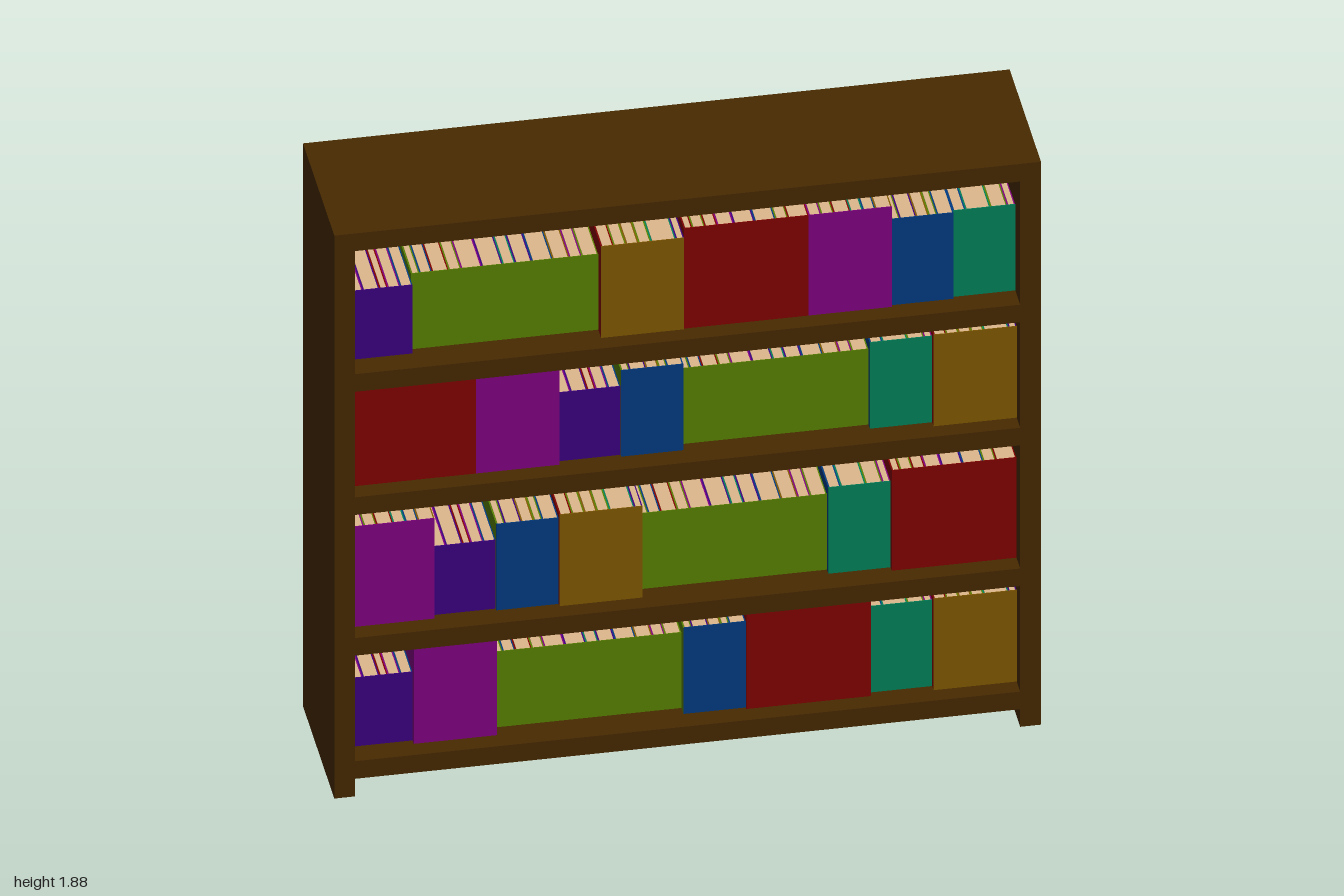
import * as THREE from 'three';
import { mergeGeometries } from 'three/addons/utils/BufferGeometryUtils.js';

const U = 1 / 85; // one construction unit

const COLORS = {
  wood: 0x482a00, cream: 0xe0b98e, gold: 0xc08600, red: 0x840000, purple: 0x840084,
  indigo: 0x3c0084, blue: 0x003c84, teal: 0x00845c, olive: 0x5a8400, brown: 0x845a00,
};
const LETTER = { R: 'red', P: 'purple', I: 'indigo', B: 'blue', T: 'teal', G: 'olive', N: 'brown' };

// Seven sets of books: height, front face z, and spines (letter + width) from -x to +x
const SETS = {
  indigo: { h: 19.5, z: 13.8, books: 'P3 I4 R2 P3 B3' },
  olive: { h: 21.5, z: 12, books: 'G2 B3 R4 G3 P5 I5 T3 I4 B5 N4 P3 G4' },
  brown: { h: 26, z: 15.6, books: 'R3 G3 N3 G3 T6 I2' },
  red: { h: 28.5, z: 15.3, books: 'R2 G3 R3 P4 I5 B5 G3 R5' },
  purple: { h: 28.5, z: 15.3, books: 'P3 G3 R4 T3 B3 N4' },
  blue: { h: 24.5, z: 14.6, books: 'G2 I4 N3 G2 B4' },
  teal: { h: 24.5, z: 13.8, books: 'B3 T6 G4 P2' },
};

// Shelf top height and the order of the sets on it, from -x to +x
const ROWS = [
  [10, 'indigo purple olive blue red teal brown'],
  [45, 'purple indigo blue brown olive teal red'],
  [85, 'red purple indigo blue olive teal brown'],
  [120, 'indigo olive brown red purple blue teal'],
];

const BACK = -15; // z of the spines

// Box from corner to corner, in construction units
function box(x0, x1, y0, y1, z0, z1) {
  const g = new THREE.BoxGeometry((x1 - x0) * U, (y1 - y0) * U, (z1 - z0) * U);
  return g.translate((x0 + x1) / 2 * U, (y0 + y1) / 2 * U, (z0 + z1) / 2 * U);
}

// Gilding on a spine: ladders, zigzags or a pair of bands
function gilding(color, x, w, h) {
  const list = [];
  const plate = (a, b, y, t) => list.push(box(x + a, x + b, y, y + t, BACK - 0.2, BACK));
  if (color === 'teal' && w > 3) {
    for (let y = 3, i = 0; y < h - 4; y += 3, i++) {
      plate(1, w - 1, y, 1);
      const a = i % 2 ? 1 : w - 2;
      plate(a, a + 1, y + 1, 2);
    }
  } else if ((color === 'red' || color === 'purple') && w > 4) {
    for (let y = 3, i = 0; y < h - 3; y += 2, i++) {
      const a = [0.5, 1.5, 2.5, 1.5][i % 4];
      plate(a, a + 1.5, y, 2);
    }
  } else if (w > 3) {
    for (const f of [0.18, 0.78]) plate(0, w, Math.round(f * h), 1);
  }
  return list;
}

// Geometry of one set, merged by colour
function buildSet(name) {
  const { h, z, books } = SETS[name];
  const parts = {};
  const add = (color, ...geos) => (parts[color] ??= []).push(...geos);
  let x = 0;
  for (const book of books.split(' ')) {
    const color = LETTER[book[0]];
    const w = Number(book.slice(1));
    add(color, box(x, x + w, 0, h - 0.2, BACK, z - 0.2));                       // cover
    add('cream', box(x + 0.35, x + w - 0.35, h - 0.2, h, BACK + 0.7, z - 0.2)); // page tops
    const gold = gilding(color, x, w, h);
    if (gold.length) add('gold', ...gold);
    x += w;
  }
  add(name, box(0, x, 0, h, z - 0.2, z)); // plain front face
  const merged = Object.entries(parts).map(([c, list]) => [c, mergeGeometries(list)]);
  return { width: x, merged };
}

export function createModel() {
  const model = new THREE.Group();
  model.name = 'bookcase';
  const mats = {};
  for (const [name, color] of Object.entries(COLORS)) {
    mats[name] = new THREE.MeshStandardMaterial({ color });
    mats[name].name = name;
  }

  const addWood = (name, ...dims) => {
    const mesh = new THREE.Mesh(box(...dims), mats.wood);
    mesh.name = name;
    model.add(mesh);
  };

  // Case, open at front and back
  addWood('rightSide', -85, -80, 0, 155, -20, 20);
  addWood('leftSide', 80, 85, 0, 155, -20, 20);
  addWood('topBoard', -85, 85, 155, 160, -20, 20);
  ROWS.forEach(([y], i) => addWood(`shelf${i + 1}`, -80, 80, y - 5, y, -20, 20));

  // Books: the same sets in a new order on each shelf
  const sets = {};
  for (const name of Object.keys(SETS)) sets[name] = buildSet(name);
  ROWS.forEach(([y, order], i) => {
    const row = new THREE.Group();
    row.name = `bookRow${i + 1}`;
    row.position.y = y * U;
    let x = -80;
    for (const name of order.split(' ')) {
      const group = new THREE.Group();
      group.name = `${name}BookSet`;
      group.position.x = x * U;
      for (const [color, geometry] of sets[name].merged) {
        const mesh = new THREE.Mesh(geometry, mats[color]);
        mesh.name = color === 'cream' ? 'pages' : color === 'gold' ? 'spineGilding' : `${color}Covers`;
        group.add(mesh);
      }
      row.add(group);
      x += sets[name].width;
    }
    model.add(row);
  });
  return model;
}
